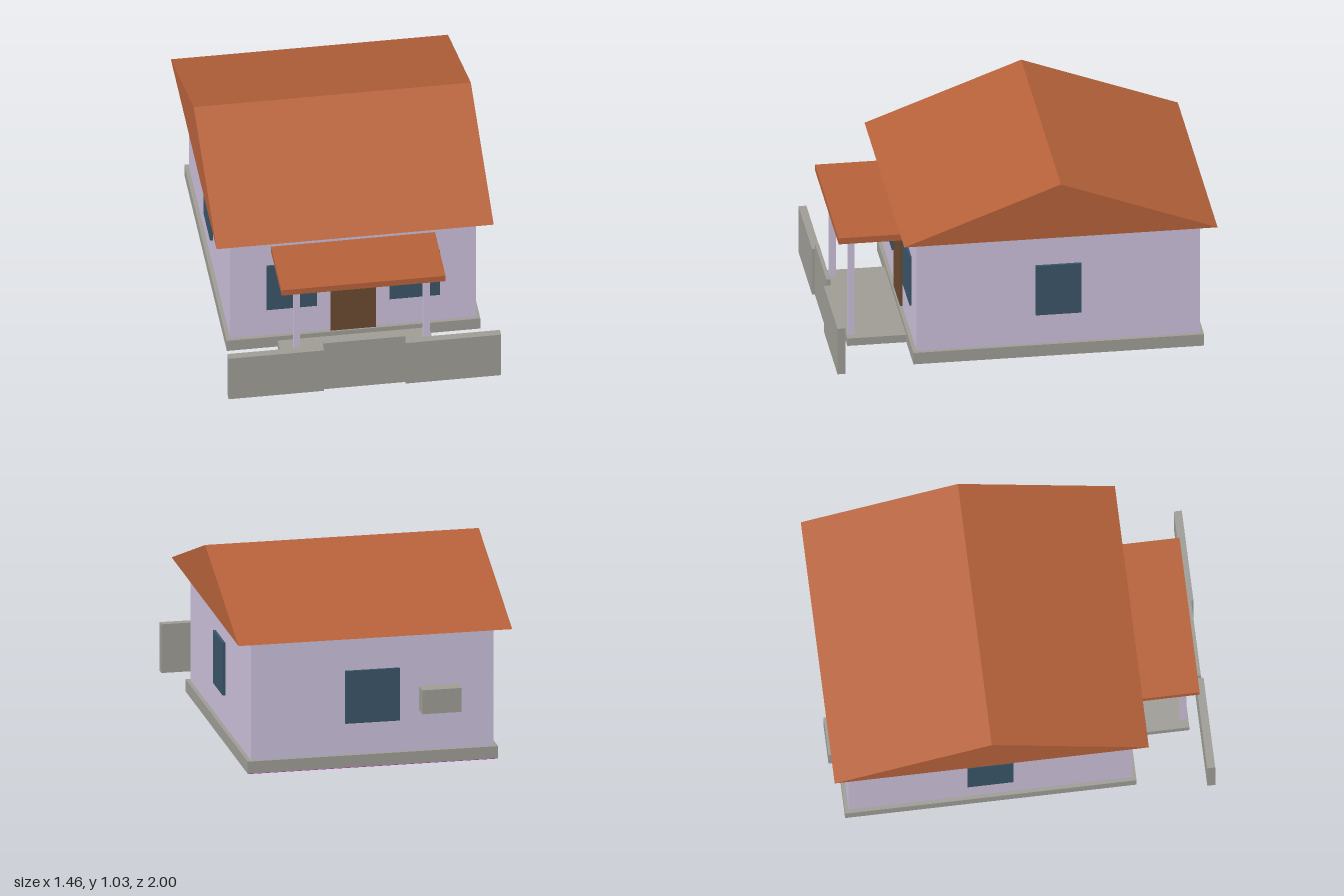
import * as THREE from 'three';

function material(name, color) {
  const m = new THREE.MeshStandardMaterial({ color });
  m.name = name;
  return m;
}

export function createModel() {
  const house = new THREE.Group();
  house.name = 'house';

  const plaster = material('lavender plaster', 0xcabfd9);
  const tile = material('terracotta roof', 0xb5613a);
  const concrete = material('grey concrete', 0x9e9c95);
  const glass = material('dark blue glass', 0x3a5468);
  const wood = material('brown wood', 0x6a4a2f);
  const underlay = material('magenta underlay', 0xe000e0);

  // Box given by its extents along each axis
  function block(name, mat, [x0, x1], [y0, y1], [z0, z1]) {
    const mesh = new THREE.Mesh(new THREE.BoxGeometry(x1 - x0, y1 - y0, z1 - z0), mat);
    mesh.position.set((x0 + x1) / 2, (y0 + y1) / 2, (z0 + z1) / 2);
    mesh.name = name;
    house.add(mesh);
  }

  // Foundation on a thin coloured base sheet, and walls
  block('baseSheet', underlay, [-0.66, 0.66], [0, 0.004], [-0.93, 0.585]);
  block('foundation', concrete, [-0.668, 0.668], [0.004, 0.07], [-0.938, 0.593]);
  block('walls', plaster, [-0.647, 0.647], [0.07, 0.721], [-0.918, 0.573]);

  // Gabled roof: triangular prism with its ridge along x
  const gable = new THREE.Shape([
    new THREE.Vector2(-0.65, 0.721),
    new THREE.Vector2(1.0, 0.721),
    new THREE.Vector2(0.175, 1.03),
  ]);
  const roofGeometry = new THREE.ExtrudeGeometry(gable, { depth: 1.46, bevelEnabled: false });
  roofGeometry.translate(0, 0, -0.73).rotateY(Math.PI / 2);
  const roof = new THREE.Mesh(roofGeometry, tile);
  roof.name = 'roof';
  house.add(roof);

  // Porch floor, canopy and door
  block('porchFloor', concrete, [-0.4, 0.4], [0, 0.043], [0.593, 0.903]);
  block('porchRoof', tile, [-0.432, 0.432], [0.612, 0.647], [0.573, 0.953]);
  block('door', wood, [-0.12, 0.12], [0.07, 0.577], [0.57, 0.585]);

  // Parts mirrored on both sides
  for (const s of [-1, 1]) {
    const side = s < 0 ? 'right' : 'left';
    const span = (a, b) => (s > 0 ? [a, b] : [-b, -a]);
    const windowHeight = [0.24, 0.526];
    block(side + 'PorchPost', plaster, span(0.325, 0.358), [0.043, 0.612], [0.859, 0.892]);
    block(side + 'FrontWindow', glass, span(0.192, 0.457), windowHeight, [0.57, 0.583]);
    block(side + 'SideWindow', glass, span(0.645, 0.662), windowHeight, [-0.293, -0.053]);
    block(side + 'Fence', concrete, span(0.215, 0.718), [0, 0.265], [0.958, 1.0]);
  }

  // Gate, back window and outdoor unit
  block('gate', concrete, [-0.215, 0.215], [0, 0.3], [0.966, 0.986]);
  block('backWindow', glass, [-0.145, 0.145], [0.24, 0.526], [-0.929, -0.915]);
  block('outdoorUnit', concrete, [-0.46, -0.25], [0.288, 0.418], [-1.0, -0.918]);

  return house;
}
